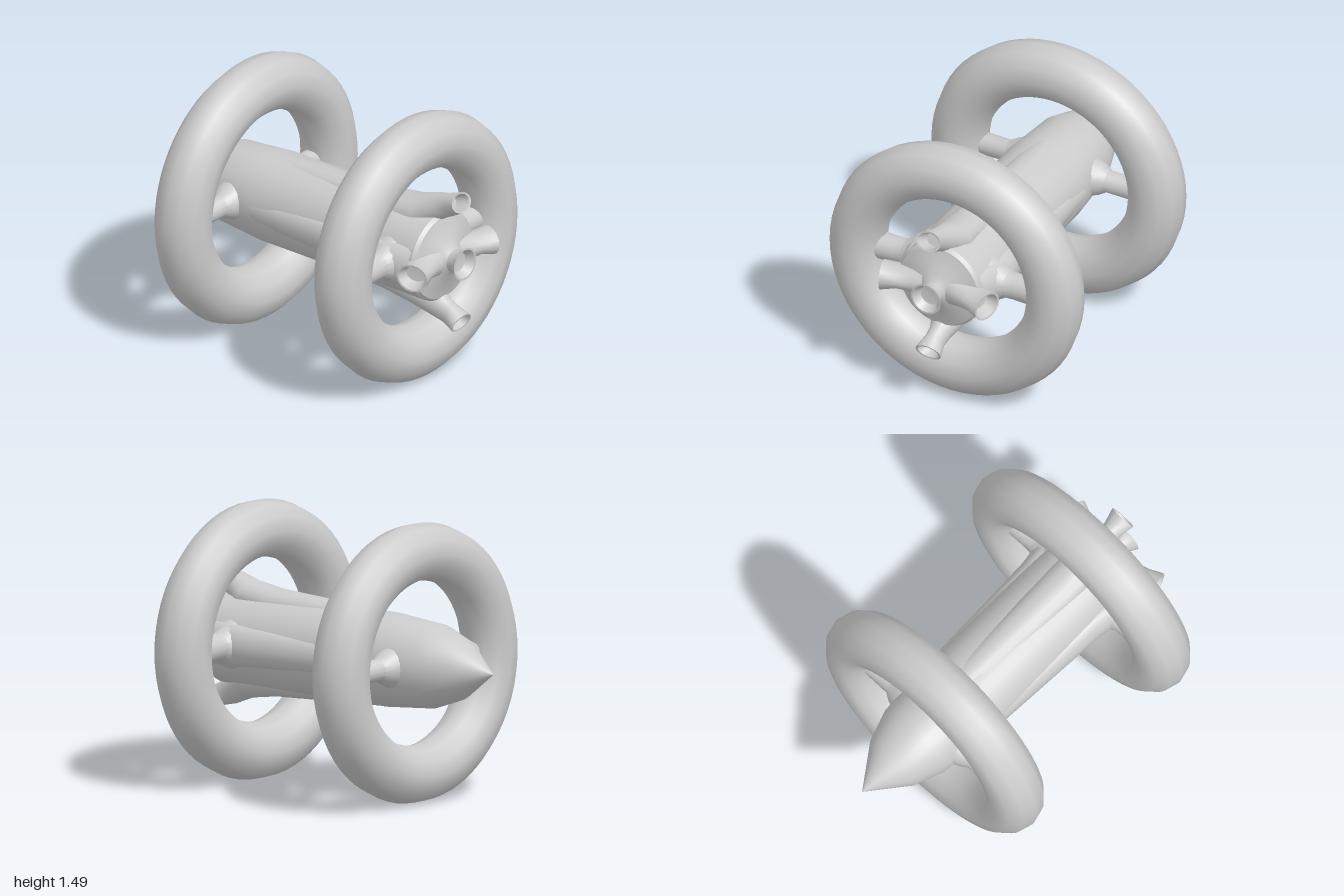
import * as THREE from 'three';
import { toCreasedNormals } from 'three/addons/utils/BufferGeometryUtils.js';

const AXIS_Y = 0.75;

// Skin of oval sections; each station is [zOuter, rOuter, zInner, rInner, halfWidth].
// Local x is the radial direction, y the width, z the length of the craft.
function loft(stations, sides = 16) {
  const pos = [], index = [];
  for (const [zo, ro, zi, ri, w] of stations) {
    for (let k = 0; k < sides; k++) {
      const t = (k / sides) * Math.PI * 2, c = Math.cos(t) / 2;
      pos.push((ro + ri) / 2 + c * (ro - ri), w * Math.sin(t), (zo + zi) / 2 + c * (zo - zi));
    }
  }
  for (let i = 0; i < stations.length - 1; i++) {
    for (let k = 0; k < sides; k++) {
      const a = i * sides + k, b = i * sides + ((k + 1) % sides);
      index.push(a, b, b + sides, a, b + sides, a + sides);
    }
  }
  const g = new THREE.BufferGeometry();
  g.setAttribute('position', new THREE.Float32BufferAttribute(pos, 3));
  g.setIndex(index);
  return toCreasedNormals(g, 0.8);
}

function lathe(points, segments) {
  const g = new THREE.LatheGeometry(points.map(p => new THREE.Vector2(...p)), segments);
  return toCreasedNormals(g, 0.6);
}

export function createModel() {
  const model = new THREE.Group();
  const craft = new THREE.Group();
  craft.name = 'craft';
  craft.position.y = AXIS_Y;
  model.add(craft);
  const material = new THREE.MeshStandardMaterial({ color: 0xcccccc, side: THREE.DoubleSide });

  const add = (name, geometry, angle = 0, z = 0) => {
    const mesh = new THREE.Mesh(geometry, material);
    mesh.name = name;
    mesh.rotation.z = angle;
    mesh.position.z = z;
    craft.add(mesh);
  };

  // Hull: pointed nose at the back, flat stern with a flared main nozzle
  add('hull', lathe([
    [0, -1], [0.165, -0.77], [0.225, -0.6], [0.25, -0.3], [0.25, 0.83],
    [0.235, 0.85], [0.1, 0.89], [0.062, 0.92], [0.064, 0.95], [0.09, 0.995],
    [0.08, 0.995], [0.055, 0.95], [0, 0.94],
  ], 32).rotateX(Math.PI / 2));

  // Two large rings and the struts that carry them
  const ring = new THREE.TorusGeometry(0.592, 0.154, 12, 64);
  const frontStrut = lathe([[0.14, 0.2], [0.105, 0.26], [0.075, 0.31], [0.072, 0.36], [0.076, 0.5]], 16)
    .rotateZ(-Math.PI / 2);
  const rearStrut = lathe([[0.11, 0.2], [0.085, 0.26], [0.06, 0.3], [0.06, 0.5]], 16)
    .rotateZ(-Math.PI / 2);
  for (const [place, z, strut] of [['front', 0.655, frontStrut], ['rear', -0.45, rearStrut]]) {
    add(place + 'Ring', ring, 0, z);
    add(place + 'LeftStrut', strut, 0, z);
    add(place + 'RightStrut', strut, Math.PI, z);
  }

  // Upper and lower thrusters: long fairings ending in tilted, hollow nozzles
  const thruster = loft([
    [-0.3, 0.25, -0.3, 0.15, 0.08], [0.5, 0.288, 0.5, 0.12, 0.11],
    [0.68, 0.315, 0.74, 0.14, 0.11], [0.8, 0.36, 0.87, 0.235, 0.06],
    [0.87, 0.375, 0.92, 0.26, 0.055], [0.95, 0.402, 0.99, 0.3, 0.076],
    [0.95, 0.392, 0.986, 0.308, 0.064], [0.88, 0.365, 0.91, 0.285, 0.045],
    [0.895, 0.325, 0.895, 0.325, 0],
  ]);
  add('upperThruster', thruster, Math.PI / 2);
  add('lowerThruster', thruster, -Math.PI / 2);

  // Side fairings and outward-facing side thrusters
  const fairing = loft([
    [-0.3, 0.25, -0.3, 0.15, 0.08], [0.5, 0.285, 0.5, 0.12, 0.11],
    [0.66, 0.31, 0.66, 0.12, 0.12], [0.82, 0.26, 0.82, 0.12, 0.12],
  ]);
  const sideThruster = loft([
    [0.72, 0.1, 0.91, 0.05, 0.1], [0.75, 0.21, 0.925, 0.13, 0.075],
    [0.78, 0.27, 0.95, 0.21, 0.058], [0.81, 0.34, 0.985, 0.292, 0.078],
    [0.82, 0.336, 0.974, 0.294, 0.068], [0.82, 0.27, 0.93, 0.235, 0.045],
    [0.87, 0.25, 0.87, 0.25, 0],
  ]);
  for (const [side, angle] of [['left', 0], ['right', Math.PI]]) {
    add(side + 'Fairing', fairing, angle);
    add(side + 'Thruster', sideThruster, angle);
  }
  return model;
}
